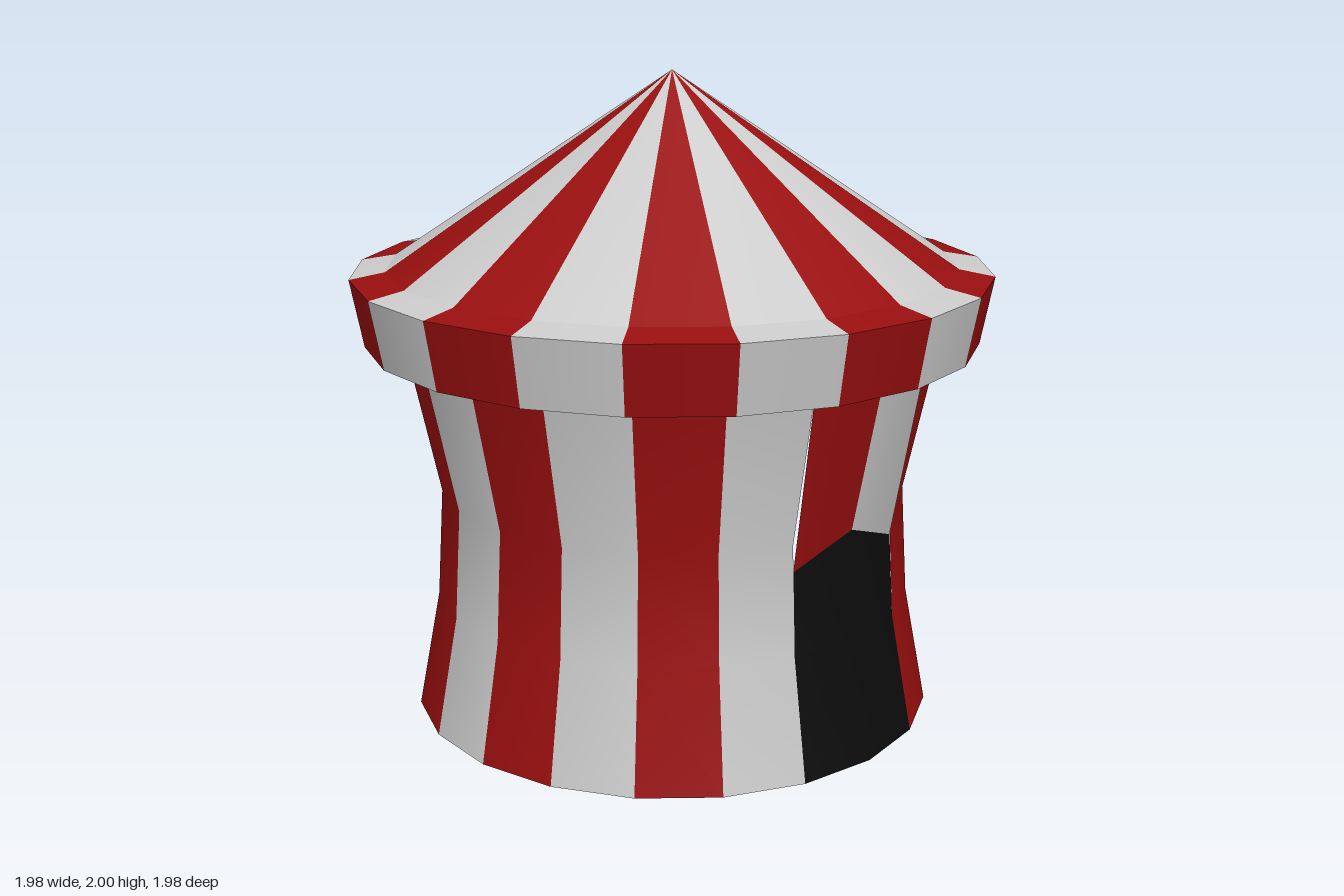
import * as THREE from 'three';
import { mergeGeometries } from 'three/addons/utils/BufferGeometryUtils.js';

const STRIPES = 20;
const STEP = (Math.PI * 2) / STRIPES;
const DOOR = [4, 5]; // the two stripes either side of +x

const red = new THREE.MeshStandardMaterial({ color: 0x990f0f });
const white = new THREE.MeshStandardMaterial({ color: 0xcccccc });
const black = new THREE.MeshStandardMaterial({ color: 0x0c0c0c });

// One stripe of a turned profile of [radius, height] points, listed bottom to top
function stripe(profile, k) {
  const points = profile.map(([r, y]) => new THREE.Vector2(r, y));
  return new THREE.LatheGeometry(points, 1, k * STEP, STEP);
}

// Lower the outer corners of the doorway so that its top forms a shallow gable
function gable(geometry) {
  const p = geometry.attributes.position;
  for (let i = 0; i < p.count; i++) {
    if (Math.abs(p.getY(i) - 0.71) < 0.001 && Math.abs(p.getZ(i)) > 0.1) {
      p.setXYZ(i, p.getX(i) * 1.005, 0.63, p.getZ(i) * 1.005);
    }
  }
  return geometry;
}

export function createModel() {
  const model = new THREE.Group();

  const add = (name, geometries, material) => {
    const mesh = new THREE.Mesh(mergeGeometries(geometries), material);
    mesh.name = name;
    model.add(mesh);
  };

  // Alternating red and white stripes all the way round, or with the door left out
  const addStriped = (name, profile, make = stripe, skip = []) => {
    const sets = [[], []];
    for (let k = 0; k < STRIPES; k++) {
      if (!skip.includes(k)) sets[k % 2].push(make(profile, k));
    }
    add(name + 'Red', sets[0], red);
    add(name + 'White', sets[1], white);
  };

  const lowerWall = [[0.82, 0], [0.75, 0.37], [0.73, 0.71]];
  const upperWall = [[0.73, 0.71], [0.83, 1.18]];
  const wall = [...lowerWall, upperWall[1]];

  // Canvas walls, pinched at mid height
  addStriped('wall', wall, stripe, DOOR);

  // Doorway flush with the wall, and the canvas above it
  add('doorway', DOOR.map((k) => gable(stripe(lowerWall, k))), black);
  DOOR.forEach((k) => {
    add('wallAboveDoor', [gable(stripe(upperWall, k))], k % 2 ? white : red);
  });

  // Floor
  addStriped('floor', [[0, 0], [0.82, 0]]);

  // Hanging valance with its underside
  addStriped('valanceUnderside', [[0.82, 1.18], [0.95, 1.18]]);
  addStriped('valance', [[0.95, 1.18], [0.99, 1.39]]);

  // Nearly flat eave and the pointed roof
  addStriped('eave', [[0.99, 1.39], [0.88, 1.41]]);
  addStriped('roof', [[0.88, 1.41], [0, 2]]);

  return model;
}
